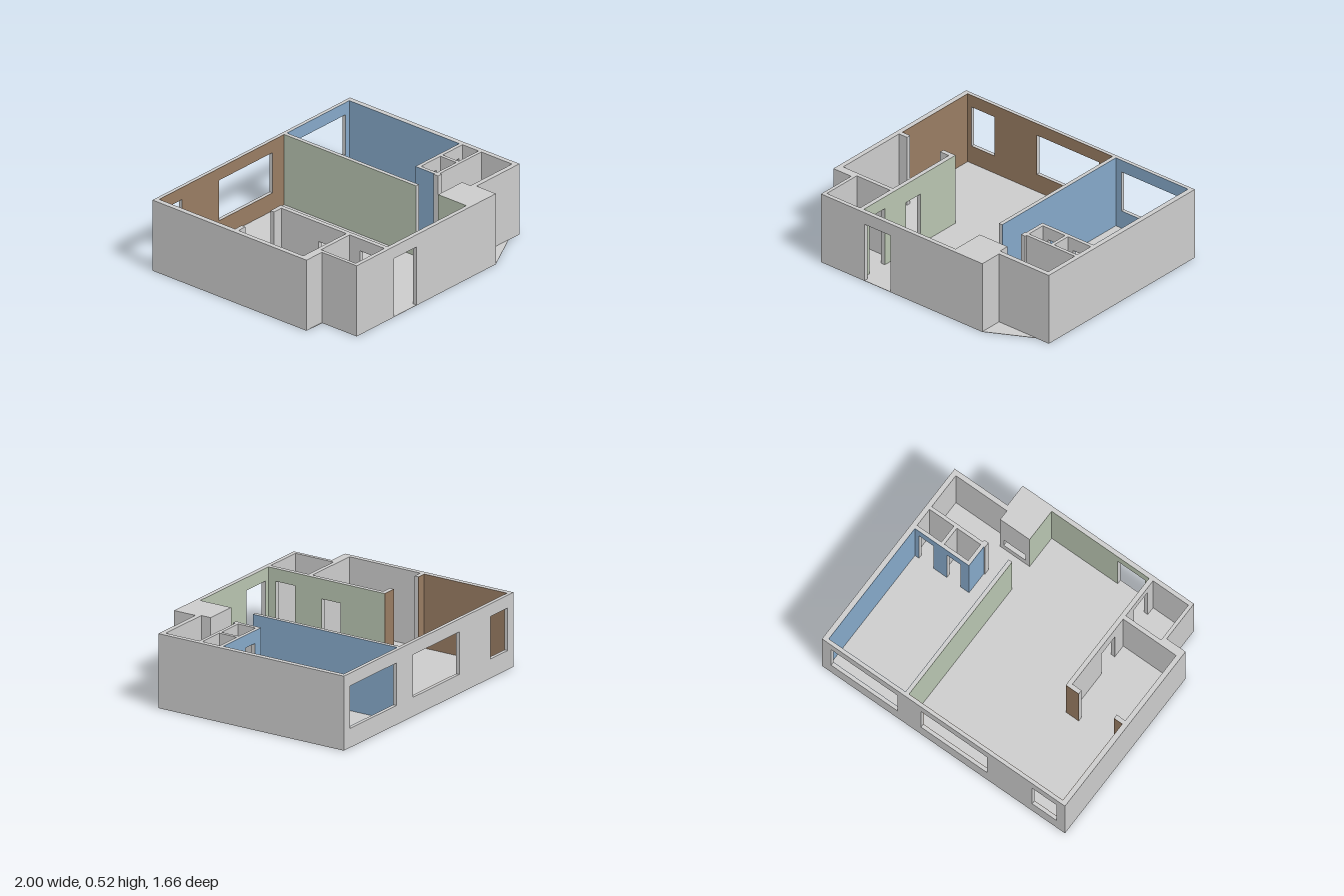
import * as THREE from 'three';

const H = 0.525, SILL = 0.135, HEAD = 0.435, SKIN = 0.002;
const GREY = 0xcccccc, BROWN = 0x987c62, BLUE = 0x85a8c8, GREEN = 0xb8c4b0;
const materials = {};
const material = (color) => (materials[color] ??= new THREE.MeshStandardMaterial({ color, flatShading: true }));

// Openings along a wall: [start, end, bottom, top]
const win = (a, b) => [a, b, SILL, HEAD];
const door = (a, b, top = HEAD) => [a, b, 0, top];

// Elevation of a wall: doors notch the outline, windows are holes
function elevation(lo, hi, openings) {
  const s = new THREE.Shape();
  s.moveTo(lo, 0);
  for (const [a, b, bottom, top] of openings) {
    if (bottom > 0) {
      const hole = new THREE.Path();
      hole.moveTo(a, bottom);
      hole.lineTo(a, top);
      hole.lineTo(b, top);
      hole.lineTo(b, bottom);
      hole.closePath();
      s.holes.push(hole);
    } else {
      s.lineTo(a, 0);
      s.lineTo(a, top);
      s.lineTo(b, top);
      s.lineTo(b, 0);
    }
  }
  s.lineTo(hi, 0);
  s.lineTo(hi, H);
  s.lineTo(lo, H);
  s.closePath();
  return s;
}

export function createModel() {
  const model = new THREE.Group();
  model.name = 'apartment';

  const add = (name, geometry, color) => {
    const mesh = new THREE.Mesh(geometry, material(color));
    mesh.name = name;
    model.add(mesh);
  };

  // Wall running along x (thickness z0..z1) or along z (thickness x0..x1)
  const wallX = (name, x0, x1, z0, z1, openings = [], color = GREY) => {
    const g = new THREE.ExtrudeGeometry(elevation(x0, x1, openings), { depth: z1 - z0, bevelEnabled: false });
    add(name, g.translate(0, 0, z0), color);
  };
  const wallZ = (name, z0, z1, x0, x1, openings = [], color = GREY) => {
    const g = new THREE.ExtrudeGeometry(elevation(z0, z1, openings), { depth: x1 - x0, bevelEnabled: false });
    add(name, g.rotateY(-Math.PI / 2).translate(x1, 0, 0), color);
  };
  // Thin paint on a wall face; dir is the way the face looks
  const paintX = (name, x0, x1, z, dir, color, openings) =>
    wallX(name, x0, x1, Math.min(z, z + dir * SKIN), Math.max(z, z + dir * SKIN), openings, color);
  const paintZ = (name, z0, z1, x, dir, color, openings) =>
    wallZ(name, z0, z1, Math.min(x, x + dir * SKIN), Math.max(x, x + dir * SKIN), openings, color);

  // Floor slab, with the slanted corner beside the bay
  const plan = [[-1, -0.83], [1, -0.83], [1, 0.66], [0.89, 0.66], [0.565, 0.83],
    [-0.845, 0.83], [-0.845, 0.53], [-1, 0.522]];
  const floor = new THREE.Shape(plan.map(([x, z]) => new THREE.Vector2(x, -z)));
  add('floor', new THREE.ExtrudeGeometry(floor, { depth: 0.003, bevelEnabled: false }).rotateX(-Math.PI / 2), GREY);

  const livingWindows = [win(-0.93, -0.73), win(-0.36, 0.185)];
  const bedroomWindow = win(0.38, 0.925);
  const frontDoor = door(-0.465, -0.24);
  const hallDoors = [door(0.22, 0.37, 0.385), door(0.585, 0.74)];
  const closetDoors = [door(0.59, 0.7), door(0.81, 0.93)];

  // Outer walls
  wallX('backWall', -1, 1, -0.83, -0.805, [...livingWindows, bedroomWindow]);
  wallZ('rightSideWall', -0.805, 0.465, -1, -0.965);
  wallX('rightCornerWall', -1, -0.82, 0.465, 0.524);
  wallZ('storeSideWall', 0.524, 0.8, -0.845, -0.82);
  wallX('frontWall', -0.845, 0.565, 0.8, 0.83, [frontDoor]);
  wallZ('leftSideWall', -0.805, 0.66, 0.965, 1);
  wallX('corridorFrontWall', 0.545, 0.965, 0.625, 0.66);

  // Solid pier with a low niche facing the corridor
  wallX('pierNiche', 0.305, 0.545, 0.55, 0.72, [[0.335, 0.515, 0.07, 0.17]]);
  wallX('pier', 0.305, 0.545, 0.72, 0.8);
  wallZ('baySideWall', 0.66, 0.8, 0.545, 0.565);

  // Inner walls
  wallX('storeBackWall', -0.82, -0.53, 0.465, 0.495);
  wallZ('hallWall', -0.135, 0.8, -0.53, -0.5, hallDoors);
  wallX('hallWallReturn', -0.605, -0.53, -0.135, -0.105);
  wallX('sideWallReturn', -0.965, -0.895, -0.135, -0.105);
  wallZ('bedroomWall', -0.805, 0.355, 0.305, 0.33);
  wallX('closetDoorWall', 0.52, 0.965, 0.165, 0.19, closetDoors);
  wallZ('closetSideWall', 0.19, 0.33, 0.52, 0.545);
  wallZ('closetDivider', 0.19, 0.33, 0.74, 0.765);
  wallX('closetBackWall', 0.51, 0.965, 0.33, 0.355);
  wallX('closetCorner', 0.51, 0.545, 0.355, 0.37);

  // Brown paint in the living area
  paintX('livingBackPaint', -0.965, 0.305, -0.805, 1, BROWN, livingWindows);
  paintZ('livingSidePaint', -0.805, -0.135, -0.965, 1, BROWN);
  paintX('sideReturnPaint', -0.965, -0.895, -0.135, -1, BROWN);
  paintX('hallReturnPaint', -0.605, -0.5, -0.135, -1, BROWN);

  // Green paint in the living area and hall
  paintZ('livingDividerPaint', -0.803, 0.355, 0.305, -1, GREEN);
  paintZ('hallPaint', -0.135, 0.8, -0.5, 1, GREEN, hallDoors);
  paintX('hallFrontPaint', -0.498, 0.303, 0.8, -1, GREEN, [frontDoor]);
  paintZ('pierPaint', 0.55, 0.8, 0.305, -1, GREEN);

  // Blue paint in the bedroom
  paintX('bedroomBackPaint', 0.33, 0.965, -0.805, 1, BLUE, [bedroomWindow]);
  paintZ('bedroomDividerPaint', -0.803, 0.355, 0.33, 1, BLUE);
  paintZ('bedroomSidePaint', -0.803, 0.165, 0.965, -1, BLUE);
  paintX('closetDoorPaint', 0.52, 0.963, 0.165, -1, BLUE, closetDoors);
  paintZ('closetSidePaint', 0.163, 0.33, 0.52, -1, BLUE);

  return model;
}
